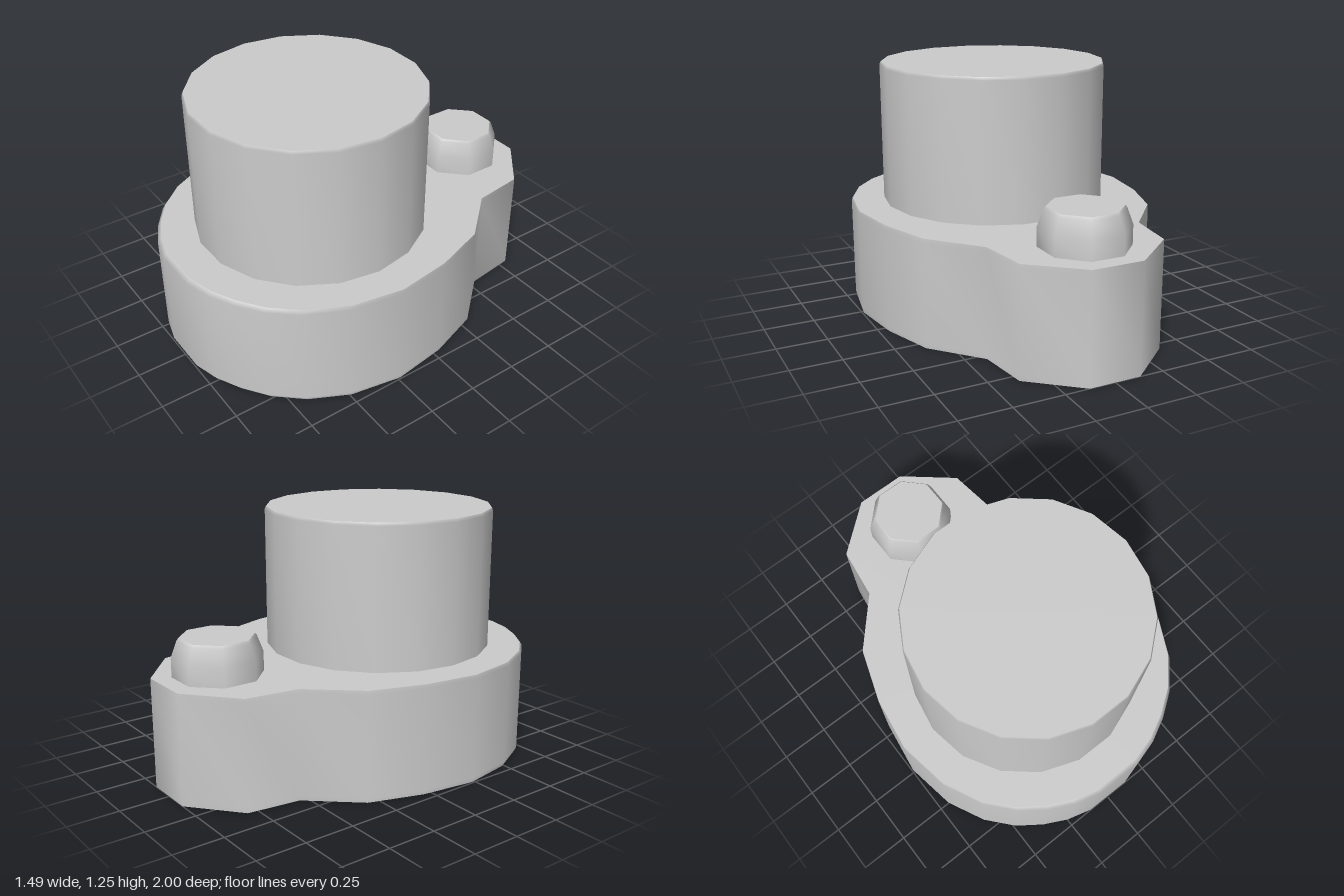
import * as THREE from 'three';

const material = new THREE.MeshStandardMaterial({ color: 0xcccccc });

// Smooth-walled solid from stacked rings of [x, y, z], with flat caps.
// Rings run counterclockwise as seen from above.
function loft(name, rings) {
  const n = rings[0].length;
  const positions = rings.flat(2);
  const index = [];
  for (let r = 0; r < rings.length - 1; r++) {
    for (let i = 0; i < n; i++) {
      const a = r * n + i, b = r * n + (i + 1) % n;
      index.push(a, b, a + n, b, b + n, a + n);
    }
  }
  const wall = new THREE.BufferGeometry();
  wall.setAttribute('position', new THREE.Float32BufferAttribute(positions, 3));
  wall.setIndex(index);
  wall.computeVertexNormals();

  const cap = (ring, up) => {
    const mid = [0, 1, 2].map(k => ring.reduce((s, p) => s + p[k], 0) / n);
    const tris = ring.flatMap((p, i) => {
      const q = ring[(i + 1) % n];
      return up ? [...mid, ...p, ...q] : [...mid, ...q, ...p];
    });
    const g = new THREE.BufferGeometry();
    g.setAttribute('position', new THREE.Float32BufferAttribute(tris, 3));
    g.computeVertexNormals();
    return g;
  };

  const group = new THREE.Group();
  group.name = name;
  const parts = { Wall: wall, Bottom: cap(rings[0], false), Top: cap(rings[rings.length - 1], true) };
  for (const [part, geometry] of Object.entries(parts)) {
    const mesh = new THREE.Mesh(geometry, material);
    mesh.name = name + part;
    group.add(mesh);
  }
  return group;
}

// Regular polygon ring
function polygon(sides, radius, y, cz, start) {
  return Array.from({ length: sides }, (_, i) => {
    const a = start + (i / sides) * Math.PI * 2;
    return [radius * Math.sin(a), y, cz + radius * Math.cos(a)];
  });
}

export function createModel() {
  const model = new THREE.Group();
  model.name = 'model';

  // Pear-shaped base: half outline from front to back, mirrored
  const half = [
    [0.12, 1.0], [0.25, 0.965], [0.37, 0.905], [0.49, 0.82], [0.605, 0.69], [0.70, 0.50],
    [0.745, 0.24], [0.705, 0.04 - 0.08], [0.615, -0.305], [0.405, -0.54], [0.37, -0.80], [0.13, -1.0],
  ];
  const outline = [...half, ...half.map(([x, z]) => [-x, z]).reverse()];
  // The bevel is strongest at the front and fades out toward the sides
  const baseRing = (y, bevel) => outline.map(([x, z]) =>
    [x * (1 - bevel * 0.15), y, z - bevel * Math.max(0, z)]);
  model.add(loft('base', [
    baseRing(0, 0.02), baseRing(0.02, 0), baseRing(0.525, 0), baseRing(0.545, 0.02),
  ]));

  // Large round post
  model.add(loft('post', [[0.575, 0.53], [0.575, 1.24], [0.569, 1.255]]
    .map(([r, y]) => polygon(18, r, y, 0.245, Math.PI / 2))));

  // Small octagonal knob on the rear lobe
  model.add(loft('knob', [[0.2165, 0.53], [0.2165, 0.64], [0.187, 0.72], [0.178, 0.732]]
    .map(([r, y]) => polygon(8, r, y, -0.715, Math.PI / 8))));

  return model;
}
